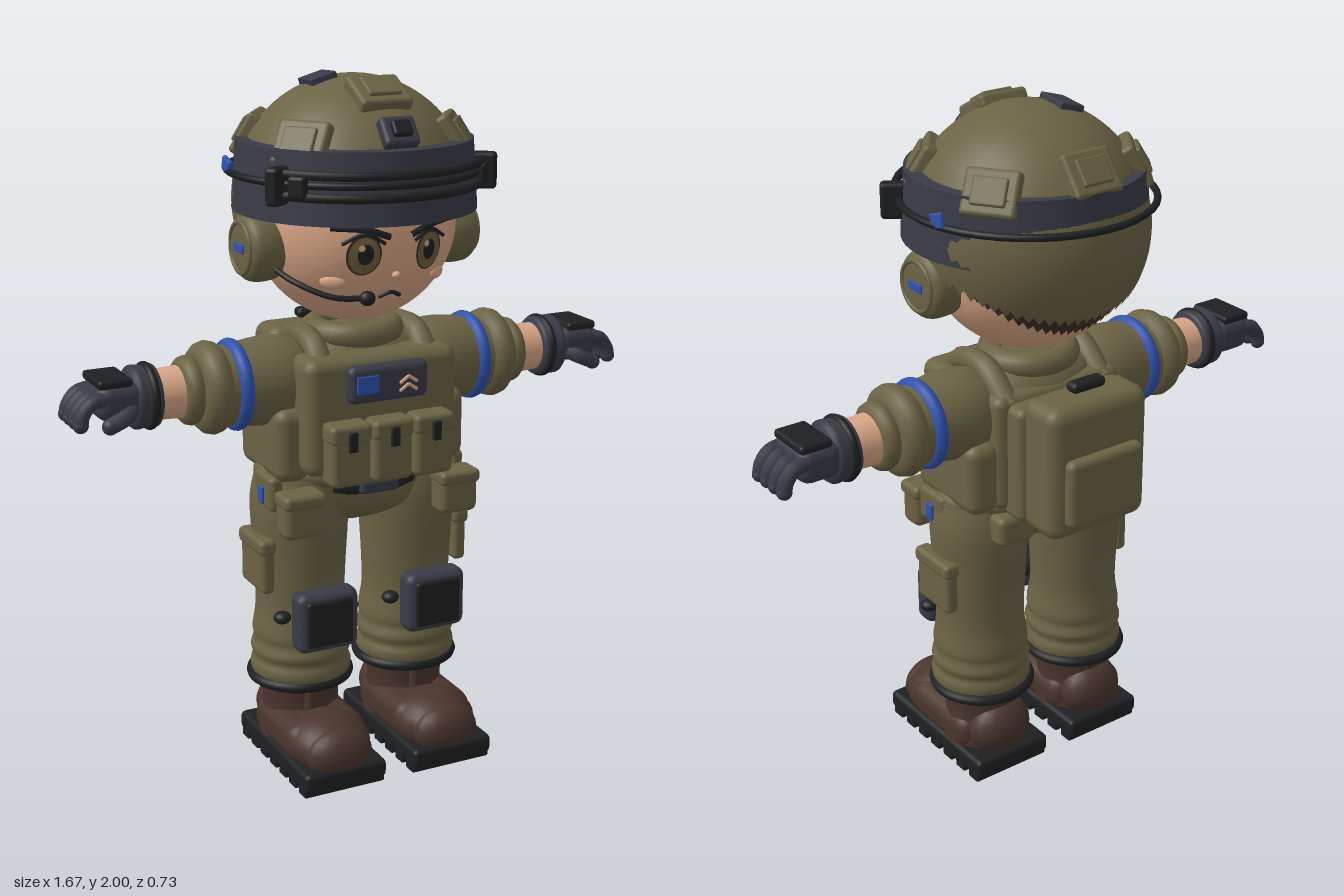
import * as THREE from 'three';
import { RoundedBoxGeometry } from 'three/addons/geometries/RoundedBoxGeometry.js';

const mat = (name, color) => Object.assign(new THREE.MeshStandardMaterial({ color }), { name });
const V = (x, y, z) => new THREE.Vector3(x, y, z);

export function createModel() {
  const olive = mat('olive', 0x6b6344), navy = mat('slate', 0x3a3b47), black = mat('black', 0x1f2022);
  const blue = mat('blue', 0x2f52ae), brown = mat('brown', 0x4a352c), skin = mat('skin', 0xdba786);
  const hairMat = mat('hair', 0x3f2d25), iris = mat('iris', 0x6e6140);
  hairMat.side = olive.side = THREE.DoubleSide;
  const root = new THREE.Group();
  root.name = 'soldier';

  // Helpers
  const add = (name, geo, m, x = 0, y = 0, z = 0, parent = root) => {
    const mesh = new THREE.Mesh(geo, m);
    mesh.name = name;
    mesh.position.set(x, y, z);
    parent.add(mesh);
    return mesh;
  };
  const box = (name, m, w, h, d, x, y, z, r = 0.02, parent = root) =>
    add(name, new RoundedBoxGeometry(w, h, d, 2, Math.min(r, w / 2.1, h / 2.1, d / 2.1)), m, x, y, z, parent);
  const ball = (name, m, rx, ry, rz, x, y, z, parent = root) => {
    const detail = rx > 0.2 ? 44 : 20;
    const b = add(name, new THREE.SphereGeometry(1, detail, detail * 0.7), m, x, y, z, parent);
    b.scale.set(rx, ry, rz);
    return b;
  };
  const lathe = pts => new THREE.LatheGeometry(
    new THREE.SplineCurve(pts.map(p => new THREE.Vector2(...p))).getPoints(pts.length * 3)
      .map(p => new THREE.Vector2(Math.max(p.x, 0), p.y)), 32);
  const tube = (name, m, pts, r, parent = root) =>
    add(name, new THREE.TubeGeometry(new THREE.CatmullRomCurve3(pts), 16, r, 8), m, 0, 0, 0, parent);
  const ring = (name, m, R, r, x, y, z, parent = root) =>
    add(name, new THREE.TorusGeometry(R, r, 10, 44).rotateX(Math.PI / 2), m, x, y, z, parent);

  // Dome whose lower edge follows edge(c), where c is 1 at the front and -1 at the back
  const dome = (name, m, rx, ry, rz, cy, edge) => {
    const g = new THREE.SphereGeometry(1, 64, 28), p = g.attributes.position, uv = g.attributes.uv;
    for (let i = 0; i < p.count; i++) {
      const a = uv.getX(i) * Math.PI * 2, c = Math.sin(a);
      const t = (1 - uv.getY(i)) * Math.acos(THREE.MathUtils.clamp((edge(c) - cy) / ry, -1, 1));
      p.setXYZ(i, -Math.cos(a) * Math.sin(t), Math.cos(t), c * Math.sin(t));
    }
    g.setAttribute('normal', p.clone());
    add(name, g, m, 0, cy, 0).scale.set(rx, ry, rz);
  };

  // Head
  const HY = 1.6, HR = 0.284;
  const faceZ = (x, y) => Math.sqrt(Math.max(0, HR * HR - x * x - (y - HY) ** 2));
  ball('head', skin, HR, HR, HR, 0, HY, 0);
  dome('hair', hairMat, 0.29, 0.29, 0.29, HY, c => (c > 0.1 ? 1.63 : 1.63 - (0.1 - c) * 0.2));
  const decal = (name, m, x, y, rx, ry, lift) => {
    const g = new THREE.RingGeometry(0.001, 1, 32, 5), p = g.attributes.position;
    for (let i = 0; i < p.count; i++) {
      const px = x + p.getX(i) * rx, py = y + p.getY(i) * ry;
      p.setXYZ(i, px, py, faceZ(px, py) + lift);
    }
    g.computeVertexNormals();
    add(name, g, m);
  };
  const faceLine = (name, m, pts, r) => tube(name, m, pts.map(([x, y]) => V(x, y, faceZ(x, y) + 0.002)), r);
  for (const s of [1, -1]) {
    decal('eyeRim', hairMat, s * 0.095, 1.545, 0.044, 0.056, 0.003);
    decal('iris', iris, s * 0.095, 1.543, 0.039, 0.05, 0.005);
    decal('pupil', black, s * 0.093, 1.547, 0.02, 0.028, 0.007);
    decal('eyeGlint', skin, s * 0.093 - 0.012, 1.565, 0.008, 0.009, 0.009);
    faceLine('upperLid', black, [[s * 0.042, 1.575], [s * 0.095, 1.602], [s * 0.15, 1.575]], 0.005);
    faceLine('eyebrow', black, [[s * 0.03, 1.592], [s * 0.09, 1.612], [s * 0.175, 1.618]], 0.009);
    ball('cheek', skin, 0.035, 0.02, 0.012, s * 0.155, 1.468, 0.196).rotation.y = s * 0.65;
  }
  ball('nose', skin, 0.012, 0.01, 0.012, 0, 1.485, 0.262);
  faceLine('mouth', black, [[-0.032, 1.42], [0, 1.433], [0.032, 1.42]], 0.006);

  // Helmet shell with its slate band and goggles
  const CY = 1.65, RX = 0.33, RY = 0.335;
  dome('helmetShell', olive, RX, RY, RX, CY, c => (c > 0.2 ? 1.63 : 1.63 - (0.2 - c) * 0.145));
  add('helmetBand', new THREE.CylinderGeometry(0.322, 0.335, 0.19, 64), navy, 0, 1.725, 0.012);
  ring('goggleStrap', black, 0.343, 0.01, 0, 1.735, 0.002).scale.z = 1.01;
  for (const y of [1.705, 1.762]) {
    const pts = [];
    for (let i = -6; i <= 6; i++) pts.push(V(0.345 * Math.sin(i * 0.17), y, 0.012 + 0.346 * Math.cos(i * 0.17)));
    tube('goggleRail', black, pts, 0.012);
  }
  for (const s of [1, -1]) {
    box('goggleBracket', black, 0.04, 0.1, 0.07, s * 0.305, 1.73, 0.185, 0.012).rotation.y = s * 1.0;
    box('goggleClip', black, 0.05, 0.06, 0.03, s * 0.27, 1.73, 0.235, 0.01).rotation.y = s * 0.85;
    box('strapClip', blue, 0.015, 0.04, 0.05, s * 0.337, 1.75, -0.07, 0.005).rotation.x = 0.3;
    // Ear cups
    const cup = lathe([[0, 0.09], [0.06, 0.09], [0.088, 0.075], [0.095, 0.04], [0.09, 0], [0.075, -0.01]]);
    add('earCup', cup.rotateZ(-s * Math.PI / 2), olive, s * 0.255, 1.545, 0.025);
    add('earCupRidge', new THREE.TorusGeometry(0.068, 0.007, 8, 40).rotateY(Math.PI / 2), olive, s * 0.343, 1.545, 0.025);
    box('earCupMark', blue, 0.008, 0.025, 0.06, s * 0.347, 1.545, 0.025, 0.003);
  }
  tube('microphoneBoom', black, [V(-0.28, 1.5, 0.08), V(-0.25, 1.47, 0.17), V(-0.17, 1.435, 0.235), V(-0.085, 1.43, 0.262)], 0.008);
  ball('microphone', black, 0.022, 0.02, 0.02, -0.085, 1.43, 0.262);

  // Plates fixed to the helmet, given by their place seen from above
  const onHelmet = (name, x, z, build) => {
    const y = RY * Math.sqrt(1 - (x * x + z * z) / (RX * RX));
    const g = new THREE.Group();
    g.name = name;
    g.position.set(x, CY + y, z);
    g.lookAt(g.position.clone().add(V(x / RX ** 2, y / RY ** 2, z / RX ** 2)));
    build(g);
    root.add(g);
  };
  for (const [x, z] of [[0, -0.26], [0.232, -0.16], [-0.232, -0.16], [0, 0.155], [0.225, 0.165], [-0.225, 0.165]])
    onHelmet('helmetPad', x, z, g => {
      box('padBase', olive, 0.15, 0.125, 0.04, 0, 0, 0, 0.012, g);
      box('padTop', olive, 0.095, 0.075, 0.02, 0, 0, 0.02, 0.006, g);
    });
  onHelmet('helmetMount', 0, 0.262, g => {
    box('mountBase', navy, 0.1, 0.085, 0.04, 0, 0, 0.005, 0.012, g);
    box('mountSocket', black, 0.055, 0.045, 0.04, 0, 0, 0.02, 0.008, g);
  });
  onHelmet('crownPatch', -0.09, -0.025, g => {
    box('patch', navy, 0.105, 0.075, 0.02, 0, 0, 0.002, 0.004, g).rotation.z = 0.2;
  });

  // Torso and vest
  add('torso', lathe([[0, 0.84], [0.2, 0.85], [0.225, 0.95], [0.225, 1.15], [0.2, 1.24], [0.12, 1.29], [0, 1.31]]), olive).scale.z = 0.68;
  ring('collar', olive, 0.108, 0.036, 0, 1.288, 0);
  box('chestPlate', olive, 0.46, 0.33, 0.14, 0, 1.09, 0.13, 0.035);
  box('backPlate', olive, 0.42, 0.34, 0.1, 0, 1.07, -0.1, 0.03);
  box('chestPanel', navy, 0.24, 0.105, 0.045, 0, 1.182, 0.21, 0.02);
  box('panelPatch', blue, 0.065, 0.05, 0.008, -0.068, 1.184, 0.234, 0.003);
  for (const y of [1.165, 1.187]) for (const s of [1, -1])
    box('panelChevron', skin, 0.034, 0.009, 0.008, 0.055 + s * 0.013, y, 0.234, 0.003).rotation.z = -s * 0.6;
  for (const x of [-0.127, 0, 0.127]) {
    box('magazinePouch', olive, 0.118, 0.175, 0.075, x, 0.997, 0.222, 0.018);
    box('magazineFlap', olive, 0.122, 0.055, 0.08, x, 1.058, 0.224, 0.015);
    box('magazineBuckle', black, 0.026, 0.055, 0.012, x, 1.04, 0.266, 0.004);
  }
  for (const s of [1, -1]) {
    box('sidePouch', olive, 0.1, 0.21, 0.28, s * 0.24, 1.005, 0, 0.035);
    tube('shoulderStrap', olive, [V(s * 0.16, 1.2, 0.15), V(s * 0.16, 1.27, 0.09), V(s * 0.16, 1.28, -0.03), V(s * 0.16, 1.2, -0.13)], 0.034);
  }

  // Backpack
  box('packFrame', olive, 0.36, 0.34, 0.09, 0, 1.05, -0.165, 0.025);
  box('backpack', olive, 0.33, 0.39, 0.15, 0, 1.06, -0.258, 0.04);
  box('packPocket', olive, 0.25, 0.2, 0.06, 0, 1.01, -0.333, 0.02);
  box('packHandle', black, 0.11, 0.03, 0.045, 0, 1.278, -0.258, 0.014);

  // Hips and belt
  add('hips', lathe([[0, 0.73], [0.1, 0.74], [0.25, 0.79], [0.285, 0.86], [0.275, 0.92], [0, 0.94]]), olive).scale.z = 0.54;
  ring('belt', olive, 0.27, 0.028, 0, 0.905, 0).scale.z = 0.58;
  ring('frontBelt', black, 0.195, 0.026, 0, 0.873, 0).scale.z = 0.78;
  box('beltBuckle', navy, 0.12, 0.04, 0.03, 0, 0.872, 0.165, 0.012);

  for (const s of [1, -1]) {
    box('beltPouch', olive, 0.12, 0.115, 0.08, s * 0.24, 0.817, 0.165, 0.022);
    box('beltPouchFlap', olive, 0.125, 0.04, 0.09, s * 0.24, 0.868, 0.168, 0.015);
    box('hipPouch', olive, 0.04, 0.1, 0.12, s * 0.283, 0.865, 0.05, 0.015);
    box('hipTag', blue, 0.01, 0.05, 0.03, s * 0.306, 0.855, 0.05, 0.004);
    box('rearPouch', olive, 0.12, 0.09, 0.07, s * 0.16, 0.845, -0.14, 0.02);

    // Leg
    const leg = new THREE.Group();
    leg.name = s > 0 ? 'leftLeg' : 'rightLeg';
    leg.position.x = s * 0.17;
    root.add(leg);
    add('trouserLeg', lathe([[0.1, 0.27], [0.138, 0.29], [0.145, 0.32], [0.137, 0.345], [0.144, 0.37], [0.135, 0.4],
      [0.138, 0.43], [0.128, 0.5], [0.13, 0.6], [0.137, 0.72], [0.14, 0.82], [0.125, 0.9]]), olive, 0, 0, 0.005, leg);
    ring('trouserCuff', black, 0.138, 0.017, 0, 0.285, 0, leg);
    box('thighPocket', olive, 0.04, 0.155, 0.155, s * 0.135, 0.648, 0.018, 0.015, leg);
    box('thighPocketFlap', olive, 0.05, 0.045, 0.165, s * 0.136, 0.708, 0.018, 0.014, leg);
    box('kneePad', navy, 0.185, 0.175, 0.075, 0, 0.505, 0.17, 0.025, leg);
    box('kneePlate', black, 0.14, 0.135, 0.03, 0, 0.505, 0.2, 0.01, leg);
    for (const t of [1, -1]) ball('kneeStrapKnob', black, 0.025, 0.018, 0.025, t * 0.105, 0.505, 0.115, leg);

    // Boot
    add('bootShaft', lathe([[0.118, 0.06], [0.122, 0.12], [0.11, 0.2], [0.118, 0.285]]), brown, 0, 0, 0, leg);
    box('bootTop', brown, 0.245, 0.12, 0.3, 0, 0.14, 0.07, 0.05, leg);
    ball('bootToe', brown, 0.122, 0.085, 0.13, 0, 0.135, 0.182, leg);
    ball('toeCap', brown, 0.1, 0.075, 0.06, 0, 0.13, 0.258, leg);
    ball('bootHeel', brown, 0.1, 0.085, 0.07, 0, 0.155, -0.085, leg);
    box('bootTongue', brown, 0.07, 0.1, 0.05, 0, 0.235, 0.1, 0.015, leg);
    box('sole', black, 0.252, 0.055, 0.475, 0, 0.077, 0.077, 0.015, leg);
    for (let i = 0; i < 7; i++) box('soleTread', black, 0.25, 0.03, 0.045, 0, 0.046, -0.125 + i * 0.067, 0.006, leg);
    ball('soleDome', black, 0.1, 0.06, 0.09, 0, 0.06, 0, leg);

    // Arm, built along +x and turned round for the other side
    const arm = new THREE.Group();
    arm.name = s > 0 ? 'leftArm' : 'rightArm';
    arm.position.y = 1.165;
    arm.rotation.y = s > 0 ? 0 : Math.PI;
    root.add(arm);
    const along = (name, m, pts) => add(name, lathe(pts).rotateZ(-Math.PI / 2), m, 0, 0, 0, arm);
    const hoop = (name, m, R, r, x) => add(name, new THREE.TorusGeometry(R, r, 12, 40).rotateY(Math.PI / 2), m, x, 0, 0, arm);
    along('sleeve', olive, [[0.09, 0.14], [0.118, 0.2], [0.125, 0.26], [0.118, 0.33], [0.112, 0.38], [0.11, 0.44]]);
    hoop('armBand', blue, 0.107, 0.021, 0.365);
    hoop('sleeveRoll', olive, 0.087, 0.042, 0.435);
    hoop('sleeveEdge', olive, 0.067, 0.029, 0.495);
    along('forearm', skin, [[0.074, 0.45], [0.072, 0.52], [0.068, 0.62]]);
    along('gloveCuff', navy, [[0.066, 0.585], [0.086, 0.595], [0.084, 0.625], [0.086, 0.655], [0.06, 0.67]]);
    hoop('gloveStrap', black, 0.081, 0.012, 0.612);
    box('palm', navy, 0.13, 0.1, 0.165, 0.705, 0.008, 0, 0.035, arm);
    box('handPlate', black, 0.095, 0.025, 0.145, 0.718, 0.06, 0, 0.01, arm);
    for (let i = 0; i < 4; i++) {
      const z = -0.063 + i * 0.042;
      tube('finger', navy, [V(0.74, 0.025, z), V(0.785, 0.015, z), V(0.81, -0.015, z), V(0.816, -0.04, z)], 0.021, arm);
      ball('fingertip', navy, 0.021, 0.021, 0.021, 0.816, -0.04, z, arm);
    }
    tube('thumb', navy, [V(0.67, -0.01, s * 0.06), V(0.7, -0.025, s * 0.09), V(0.745, -0.045, s * 0.09)], 0.022, arm);
    ball('thumbTip', navy, 0.022, 0.022, 0.022, 0.745, -0.045, s * 0.09, arm);
  }
  return root;
}
